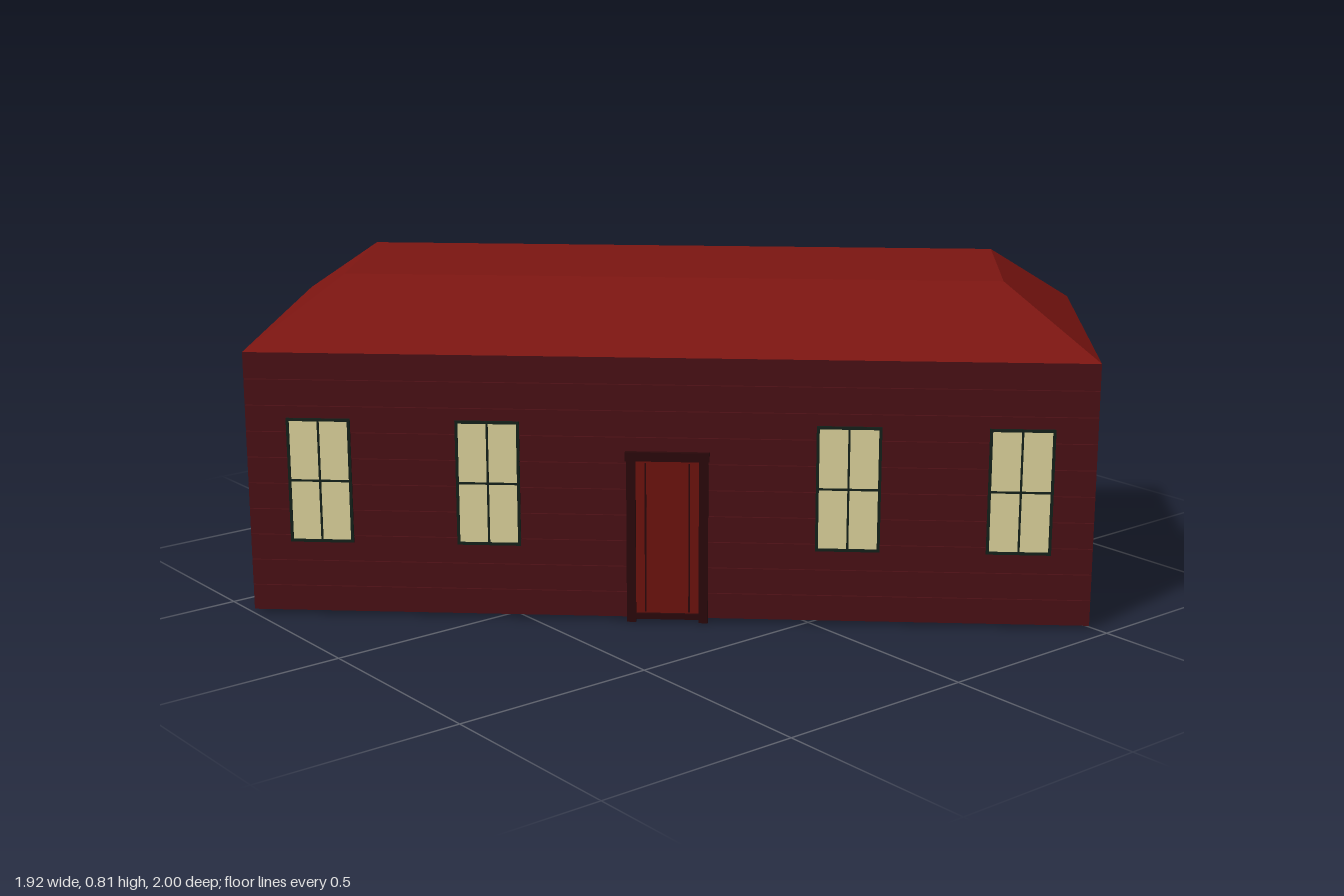
import * as THREE from 'three';

const HALF_L = 1.004, HALF_W = 0.381;   // half length and half width of the house
const BASE = 0.01, EAVES = 0.65, TOP = 0.81, WALL = 0.01;

const paint = (color) => new THREE.MeshStandardMaterial({ color, side: THREE.DoubleSide });
const roofRed = paint(0x7c1511), wallRed = paint(0x4a1015), doorRed = paint(0x6e120e);
const trimDark = paint(0x2a080a), glass = paint(0xddd49c), frameGreen = paint(0x14201a);

function box(parent, name, material, size, pos) {
  const mesh = new THREE.Mesh(new THREE.BoxGeometry(...size), material);
  mesh.position.set(...pos);
  mesh.name = name;
  parent.add(mesh);
  return mesh;
}

// Horizontal siding boards with hairline gaps, facing local +z
function makeWall(name, length) {
  const wall = new THREE.Group();
  wall.name = name;
  const count = 10, pitch = (EAVES - BASE) / count;
  for (let i = 0; i < count; i++) {
    const gap = i < count - 1 ? 0.002 : 0;
    box(wall, 'sidingBoard', wallRed, [length, pitch - gap, WALL], [0, BASE + i * pitch + (pitch - gap) / 2, 0]);
  }
  return wall;
}

// Pane with a thin border and a cross of glazing bars on the local +z side
function makeWindow(w, h) {
  const win = new THREE.Group();
  win.name = 'window';
  box(win, 'pane', glass, [w, h, WALL + 0.004], [0, 0, 0]);
  for (const s of [-1, 1]) {
    box(win, 'frameSide', frameGreen, [0.007, h + 0.007, WALL + 0.004], [s * w / 2, 0, 0.002]);
    box(win, 'frameRail', frameGreen, [w + 0.007, 0.007, WALL + 0.004], [0, s * h / 2, 0.002]);
  }
  box(win, 'glazingBarUpright', frameGreen, [0.005, h, 0.003], [0, 0, WALL / 2 + 0.003]);
  box(win, 'glazingBarCross', frameGreen, [w, 0.005, 0.003], [0, 0, WALL / 2 + 0.003]);
  return win;
}

// Door leaf with jambs, lintel and threshold
function makeDoor() {
  const door = new THREE.Group();
  door.name = 'door';
  box(door, 'doorLeaf', doorRed, [0.15, 0.39, WALL + 0.006], [0, 0.21, 0]);
  for (const s of [-1, 1]) {
    box(door, 'jamb', trimDark, [0.022, 0.415, 0.02], [s * 0.086, 0.2075, 0.005]);
    box(door, 'leafGroove', trimDark, [0.004, 0.37, 0.002], [s * 0.052, 0.21, 0.0085]);
  }
  box(door, 'lintel', trimDark, [0.2, 0.022, 0.022], [0, 0.412, 0.005]);
  box(door, 'threshold', trimDark, [0.15, 0.014, 0.02], [0, 0.015, 0.005]);
  return door;
}

// Hipped roof with a flat top, set slightly toward the door side, closed underneath
function makeRoof() {
  const ring = (x, z0, z1, y) => [[-x, y, z1], [x, y, z1], [x, y, z0], [-x, y, z0]];
  const low = ring(HALF_L, -HALF_W, HALF_W, EAVES);
  const high = ring(0.785, -0.187, 0.225, TOP);
  const points = [];
  const quad = (a, b, c, d) => points.push(...a, ...b, ...c, ...a, ...c, ...d);
  for (let i = 0; i < 4; i++) {
    const j = (i + 1) % 4;
    quad(low[i], low[j], high[j], high[i]);
  }
  quad(...high);
  quad(low[3], low[2], low[1], low[0]);
  const geometry = new THREE.BufferGeometry();
  geometry.setAttribute('position', new THREE.Float32BufferAttribute(points, 3));
  geometry.computeVertexNormals();
  const roof = new THREE.Mesh(geometry, roofRed);
  roof.name = 'roof';
  return roof;
}

export function createModel() {
  const model = new THREE.Group();
  model.name = 'house';
  const house = new THREE.Group();
  house.name = 'houseBody';
  house.rotation.y = 0.831;   // the house stands diagonally
  model.add(house);

  const wallZ = HALF_W - WALL / 2, wallX = HALF_L - WALL / 2;

  // Long walls, each with four tall windows
  for (const s of [1, -1]) {
    const wall = makeWall(s > 0 ? 'frontWall' : 'backWall', HALF_L * 2);
    wall.position.z = s * wallZ;
    for (const x of [-0.83, -0.427, 0.427, 0.83]) {
      const win = makeWindow(0.146, 0.3);
      win.position.set(x, 0.338, 0);
      wall.add(win);
    }
    if (s > 0) wall.add(makeDoor());
    house.add(wall);
  }

  // End walls, each with one smaller window
  for (const s of [1, -1]) {
    const wall = makeWall(s > 0 ? 'leftEndWall' : 'rightEndWall', (HALF_W - WALL) * 2);
    wall.position.x = s * wallX;
    wall.rotation.y = Math.PI / 2;
    const win = makeWindow(0.17, 0.238);
    win.position.y = 0.324;
    wall.add(win);
    house.add(wall);
  }

  house.add(makeRoof());
  return model;
}
